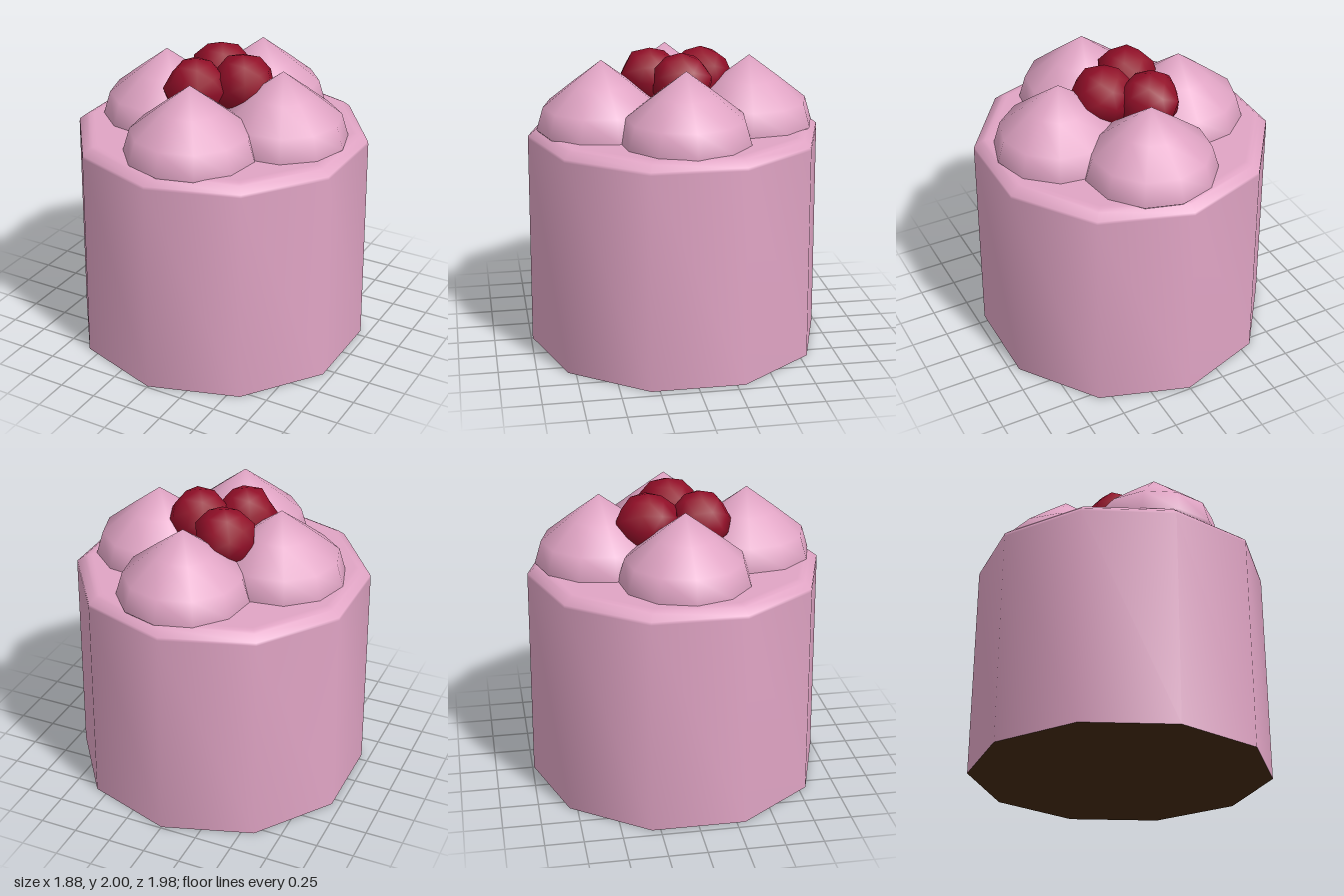
import * as THREE from 'three';
import { mergeVertices } from 'three/addons/utils/BufferGeometryUtils.js';

const material = (name, color) => {
  const m = new THREE.MeshStandardMaterial({ color });
  m.name = name;
  return m;
};

// Weld shared corners so the normals run smoothly over the whole surface
function smooth(geometry) {
  geometry.deleteAttribute('uv');
  geometry.deleteAttribute('normal');
  const welded = mergeVertices(geometry, 1e-4);
  welded.computeVertexNormals();
  return welded;
}

const lathe = (profile, sides) =>
  smooth(new THREE.LatheGeometry(profile.map(([r, y]) => new THREE.Vector2(r, y)), sides));

// A small knobbly ball, varied by its seed
function berryGeometry(radius, seed) {
  const g = smooth(new THREE.IcosahedronGeometry(radius, 1));
  const p = g.attributes.position;
  const v = new THREE.Vector3();
  for (let i = 0; i < p.count; i++) {
    v.fromBufferAttribute(p, i);
    const bump = 1 + 0.1 * Math.sin(i * 2.4 + seed * 1.7);
    p.setXYZ(i, v.x * bump, v.y, v.z * bump);
  }
  g.computeVertexNormals();
  return g;
}

export function createModel() {
  const group = new THREE.Group();
  const icing = material('pink icing', 0xe0a4c4);
  const sponge = material('chocolate sponge', 0x452a12);
  const fruit = material('red fruit', 0x920f28);

  const add = (name, geometry, mat, x = 0, y = 0, z = 0) => {
    const mesh = new THREE.Mesh(geometry, mat);
    mesh.name = name;
    mesh.position.set(x, y, z);
    group.add(mesh);
    return mesh;
  };

  // Ten-sided iced cake with a softened top rim
  add('icedCake', lathe([
    [0.99, 0], [0.975, 1.43], [0.972, 1.45], [0.925, 1.487], [0.9, 1.498], [0.87, 1.5], [0, 1.5],
  ], 10), icing);

  // Bare underside
  const base = add('cakeBase', new THREE.CircleGeometry(0.99, 10, Math.PI / 2), sponge);
  base.rotation.x = Math.PI / 2;

  // Four pointed cream dollops around the top
  const dollop = lathe([[0.4, 1.47], [0.43, 1.5], [0.385, 1.65], [0.2, 1.797], [0, 1.95]], 11);
  [[0.05, 0.49], [0.45, 0], [0.05, -0.49], [-0.41, 0]].forEach(([x, z], i) => {
    const mesh = add('creamDollop', dollop, icing, x, 0, z);
    mesh.rotation.y = i * Math.PI / 2;
  });

  // Three berries heaped in the middle
  [[-0.1, 1.785, -0.19], [0.15, 1.8, -0.02], [-0.1, 1.785, 0.15]].forEach(([x, y, z], i) =>
    add('berry', berryGeometry(0.2, i + 1), fruit, x, y, z));

  return group;
}
